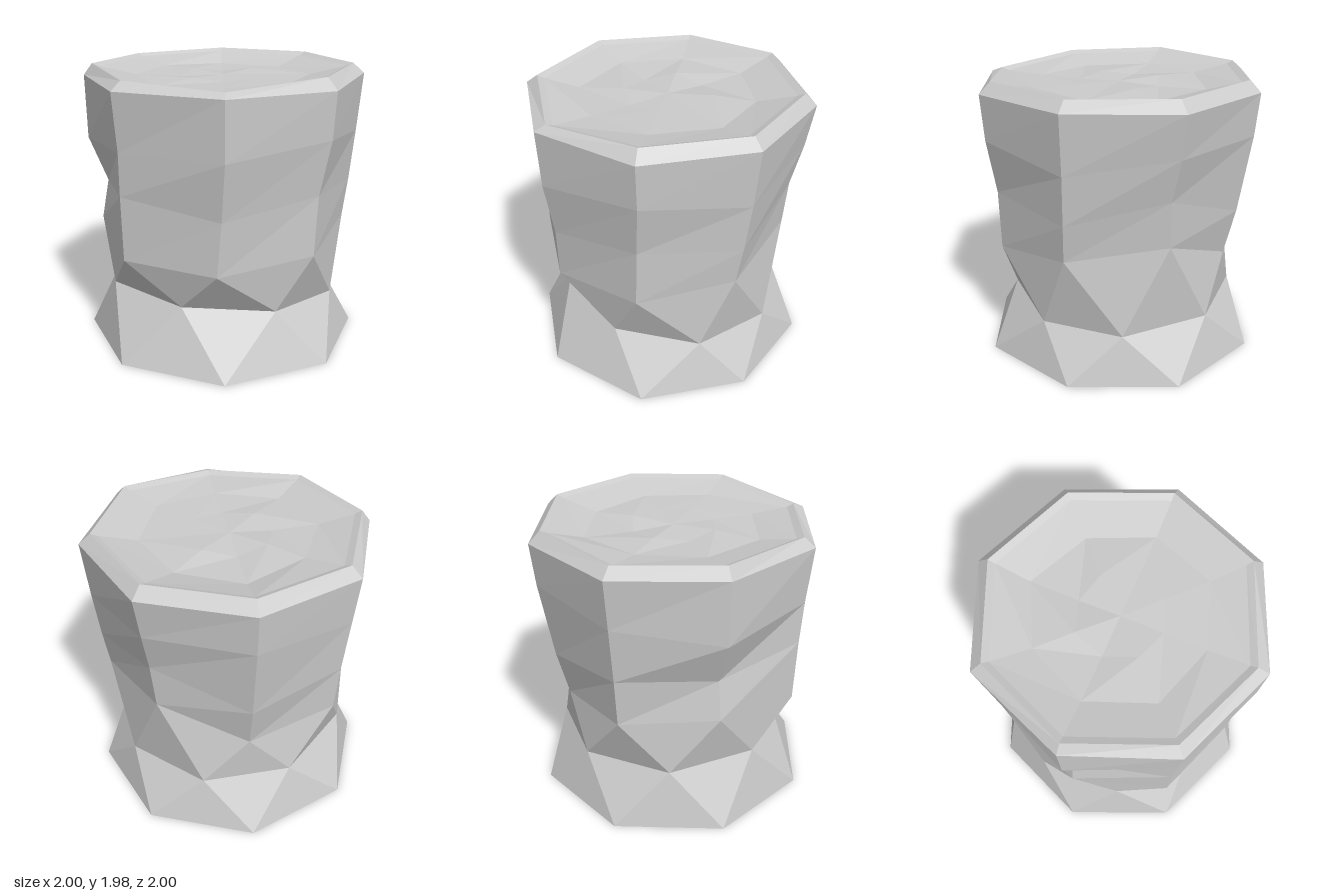
import * as THREE from 'three';

const N = 8;

// Ring of N corners; radius and height may vary per corner
function ring(radius, height) {
  return Array.from({ length: N }, (_, k) => {
    const a = (k / N) * Math.PI * 2;
    return [radius(k) * Math.cos(a), height(k), radius(k) * Math.sin(a)];
  });
}

// Skin a stack of rings with faceted triangles
function loft(name, rings, material) {
  const pos = [];
  for (let r = 0; r + 1 < rings.length; r++) {
    const lo = rings[r], up = rings[r + 1];
    for (let k = 0; k < N; k++) {
      const n = (k + 1) % N;
      pos.push(...lo[k], ...up[k], ...lo[n], ...lo[n], ...up[k], ...up[n]);
    }
  }
  const geo = new THREE.BufferGeometry();
  geo.setAttribute('position', new THREE.Float32BufferAttribute(pos, 3));
  geo.computeVertexNormals();
  const mesh = new THREE.Mesh(geo, material);
  mesh.name = name;
  return mesh;
}

export function createModel() {
  const group = new THREE.Group();
  group.name = 'stump';
  const material = new THREE.MeshStandardMaterial({ color: 0xcccccc, flatShading: true });

  // Corners run from +x through +z
  const ground = ring(k => (k === 0 ? 0.98 : 1), () => 0);
  const groundCentre = ground.map(() => [0, 0, 0]);

  // Waist: turned half a step against the other rings
  const waist = [
    [0.78, 0.35, 0.26], [0.35, 0.39, 0.69], [-0.29, 0.43, 0.7], [-0.78, 0.45, 0.3],
    [-0.78, 0.42, -0.32], [-0.3, 0.38, -0.77], [0.32, 0.36, -0.77], [0.77, 0.34, -0.32],
  ];
  const waistShifted = waist.map((_, k) => waist[(k + N - 1) % N]);

  // Uneven trunk rings
  const lower = [
    [0.88, 0.88, 0.05], [0.6, 0.78, 0.66], [-0.05, 0.72, 0.89], [-0.67, 0.75, 0.65],
    [-0.89, 0.85, 0], [-0.63, 0.8, -0.63], [0, 0.72, -0.8], [0.6, 0.97, -0.59],
  ];
  const middle = [
    [0.92, 1.15, 0.03], [0.62, 1.2, 0.66], [-0.02, 1.1, 0.91], [-0.68, 1.2, 0.66],
    [-0.84, 1.13, 0], [-0.65, 1.15, -0.65], [0, 1.05, -0.88], [0.63, 1.3, -0.6],
  ];
  const upper = [
    [0.96, 1.5, 0.01], [0.69, 1.58, 0.69], [0, 1.5, 0.98], [-0.68, 1.5, 0.68],
    [-0.97, 1.45, 0], [-0.68, 1.55, -0.68], [0, 1.6, -0.97], [0.67, 1.6, -0.67],
  ];
  const shoulder = ring(k => (k === 4 ? 0.98 : 1), k => (k === 0 ? 1.91 : 1.9));

  // Rim with a dip at the front
  const rimHeights = [1.98, 1.98, 1.93, 1.96, 1.98, 1.97, 1.98, 1.98];
  const rim = ring(() => 0.92, k => rimHeights[k]);

  // Shallow, slightly wavy dish
  const lip = ring(() => 0.87, k => rimHeights[k] - 0.02);
  const dish = ring(k => 0.61 + 0.02 * Math.sin(k * 2.3), k => 1.9 + 0.01 * Math.sin(k * 1.7));
  const inner = ring(k => 0.3 + 0.04 * Math.sin(k * 3.1), k => 1.9 + 0.015 * Math.sin(k * 2.9));
  const centre = inner.map(() => [0, 1.9, 0]);

  group.add(
    loft('underside', [groundCentre, ground], material),
    loft('flaredBase', [ground, waist], material),
    loft('trunk', [waistShifted, lower, middle, upper, shoulder], material),
    loft('rim', [shoulder, rim, lip], material),
    loft('topSurface', [lip, dish, inner, centre], material),
  );
  return group;
}
